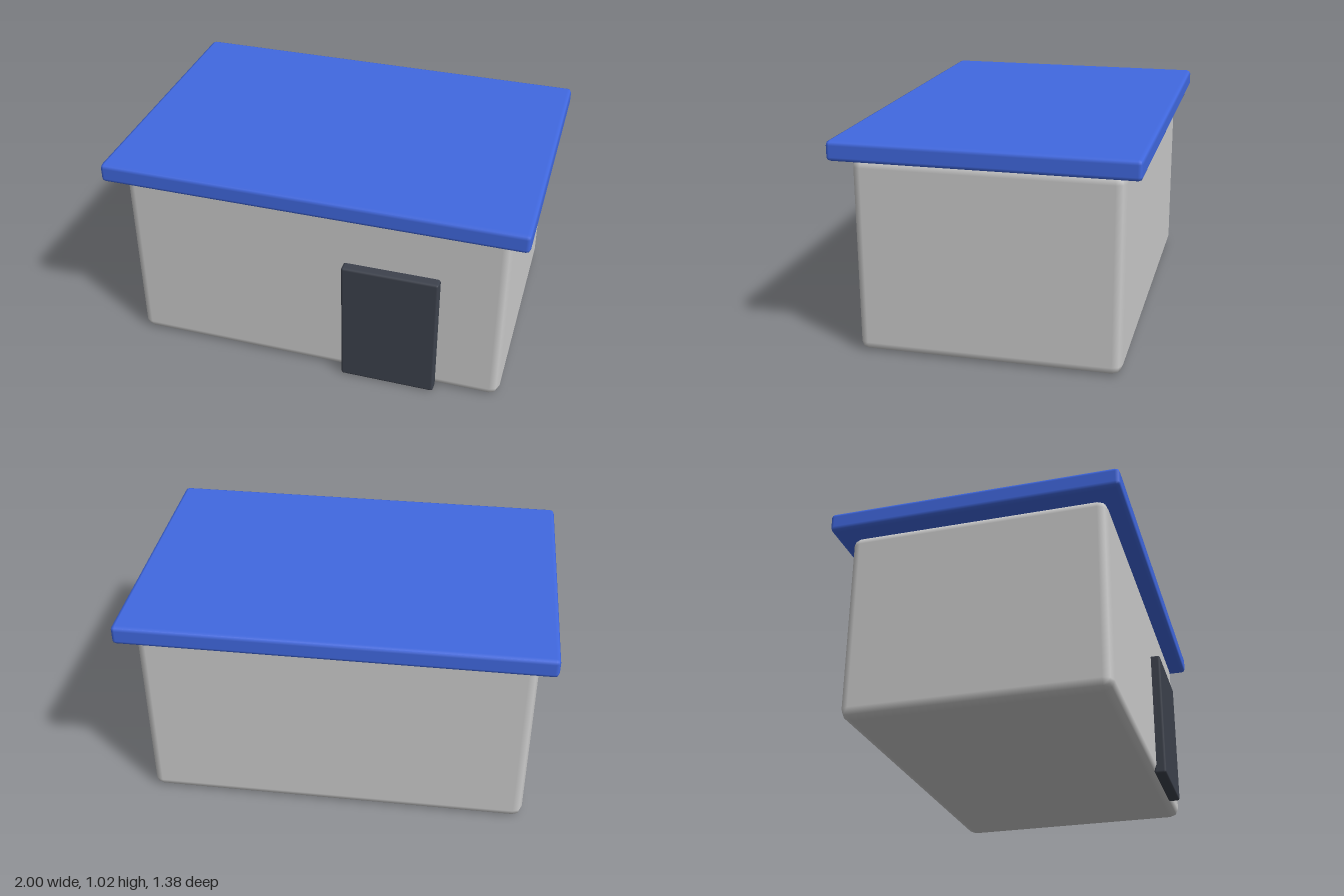
import * as THREE from 'three';
import { RoundedBoxGeometry } from 'three/addons/geometries/RoundedBoxGeometry.js';

export function createModel() {
  const group = new THREE.Group();

  // Softly bevelled block given by its extents on each axis
  const addBlock = (name, [x0, x1], [y0, y1], [z0, z1], bevel, color) => {
    const mesh = new THREE.Mesh(
      new RoundedBoxGeometry(x1 - x0, y1 - y0, z1 - z0, 1, bevel),
      new THREE.MeshStandardMaterial({ color })
    );
    mesh.position.set((x0 + x1) / 2, (y0 + y1) / 2, (z0 + z1) / 2);
    mesh.name = name;
    group.add(mesh);
  };

  // Main building volume
  addBlock('walls', [-0.92, 0.92], [0, 0.925], [-0.613, 0.613], 0.045, 0xcccccc);
  // Flat overhanging roof slab
  addBlock('roof', [-1, 1], [0.925, 1.017], [-0.69, 0.69], 0.02, 0x4169e1);
  // Door standing proud of the front wall, off centre
  addBlock('door', [0.153, 0.613], [0, 0.648], [0.6, 0.66], 0.012, 0x3d424d);

  return group;
}
